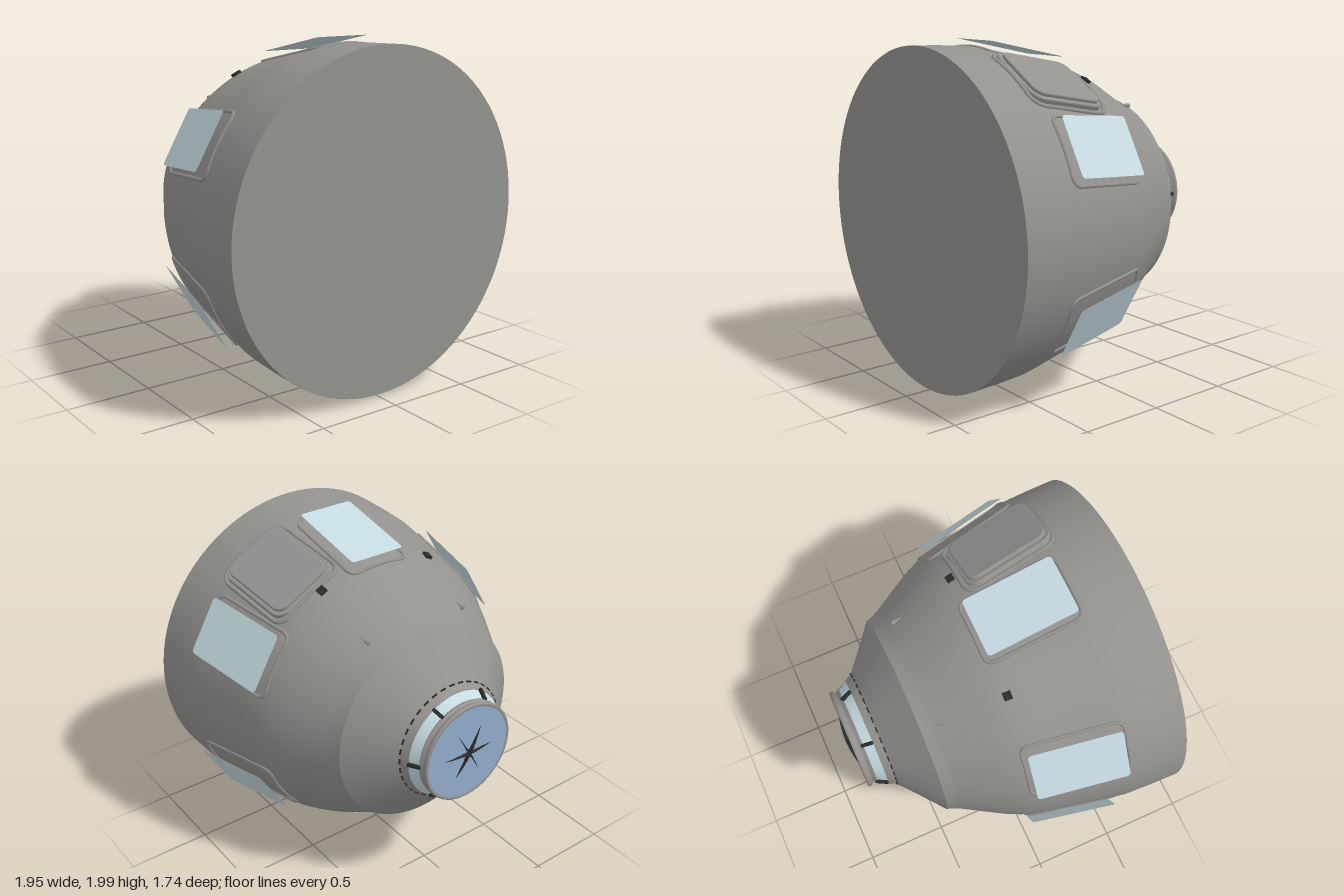
import * as THREE from 'three';

const mat = (name, color, side = THREE.FrontSide) =>
  Object.assign(new THREE.MeshStandardMaterial({ color, side }), { name });

// Shell profile as [z, radius], from the base towards the nose
const SHELL = [[0.87, 0.975], [0.7, 0.97], [0.55, 0.962], [0.48, 0.95], [0.36, 0.925], [0.24, 0.9], [0.1, 0.872],
  [0, 0.85], [-0.08, 0.818], [-0.16, 0.78], [-0.28, 0.71], [-0.39, 0.645], [-0.43, 0.625], [-0.475, 0.61]];
const TILT = 0.21; // slope of the plates lying on the shell

function shellRadius(z) {
  const i = Math.max(1, SHELL.findIndex(p => p[0] <= z));
  const [z0, r0] = SHELL[i - 1], [z1, r1] = SHELL[i];
  return r0 + (r1 - r0) * (z - z0) / (z1 - z0);
}

function roundedRect(w, h, r) {
  const s = new THREE.Shape(), x = w / 2, y = h / 2;
  s.moveTo(-x + r, -y);
  s.lineTo(x - r, -y).absarc(x - r, -y + r, r, -Math.PI / 2, 0);
  s.lineTo(x, y - r).absarc(x - r, y - r, r, 0, Math.PI / 2);
  s.lineTo(-x + r, y).absarc(-x + r, y - r, r, Math.PI / 2, Math.PI);
  s.lineTo(-x, -y + r).absarc(-x + r, -y + r, r, Math.PI, Math.PI * 1.5);
  return s;
}

// Raised bead that follows the shell around a rounded rectangle
function beadGeometry(w, h, corner, zc, radius) {
  const pts = roundedRect(w, h, corner).getSpacedPoints(56).slice(0, -1).map(p => {
    const z = zc - p.y, r = shellRadius(z);
    return new THREE.Vector3(p.x, Math.sqrt(r * r - p.x * p.x), z);
  });
  return new THREE.TubeGeometry(new THREE.CatmullRomCurve3(pts, true), 112, radius, 6, true);
}

export function createModel() {
  const hull = mat('hull grey', 0x93928f);
  const glass = mat('pale window blue', 0xc6dbe2, THREE.DoubleSide);
  const blue = mat('nose blue', 0x92abcb);
  const dark = mat('dark fittings', 0x2b2c2c, THREE.DoubleSide);

  const model = new THREE.Group();
  model.name = 'capsule';
  const body = new THREE.Group();
  body.name = 'capsuleBody';
  body.position.y = 1.005;
  model.add(body);

  const add = (parent, name, geo, material, x = 0, y = 0, z = 0, rx = 0) => {
    const m = new THREE.Mesh(geo, material);
    m.name = name;
    m.position.set(x, y, z);
    m.rotation.x = rx;
    parent.add(m);
    return m;
  };
  // Solid of revolution around the z axis
  const turned = (name, profile, material) => add(body, name,
    new THREE.LatheGeometry(profile.map(([z, r]) => new THREE.Vector2(r, -z)), 96), material, 0, 0, 0, -Math.PI / 2);
  // Group whose local +y points outwards at the given angle
  const spoke = (name, degrees) => {
    const g = new THREE.Group();
    g.name = name;
    g.rotation.z = THREE.MathUtils.degToRad(degrees - 90);
    body.add(g);
    return g;
  };

  // Hull
  add(body, 'baseDisc', new THREE.CircleGeometry(0.975, 96), hull, 0, 0, 0.87);
  turned('shell', SHELL, hull);
  turned('noseCone', [[-0.475, 0.61], [-0.58, 0.48], [-0.685, 0.355]], hull);
  turned('collar', [[-0.685, 0.355], [-0.73, 0.332]], hull);
  turned('collarLip', [[-0.73, 0.332], [-0.7301, 0.31]], hull);

  // Docking nose
  turned('paleRing', [[-0.73, 0.328], [-0.79, 0.295]], glass);
  const rim = [[-0.783, 0.28], [-0.785, 0.3], [-0.795, 0.302], [-0.802, 0.287], [-0.815, 0.287],
    [-0.82, 0.3], [-0.83, 0.305], [-0.843, 0.302], [-0.847, 0.295], [-0.843, 0.283]];
  turned('dockingRim', rim, hull);
  add(body, 'noseDisc', new THREE.CircleGeometry(0.288, 64), blue, 0, 0, -0.843, Math.PI);

  // Thin crossed blades on the nose
  const arc = new THREE.Shape();
  arc.moveTo(-0.17, 0);
  arc.quadraticCurveTo(0, 0.046, 0.17, 0);
  const bladeGeo = new THREE.ShapeGeometry(arc, 16);
  const barGeo = new THREE.BoxGeometry(0.1, 0.006, 0.02);
  for (let i = 0; i < 3; i++) {
    const g = spoke('noseBlade', 90 + i * 60);
    add(g, 'blade', bladeGeo, dark, 0, 0, -0.843, -Math.PI / 2);
    add(g, 'bladeHub', barGeo, dark, 0, 0, -0.854);
  }

  // Clips across the pale ring
  const clipGeo = new THREE.BoxGeometry(0.018, 0.022, 0.075);
  for (let i = 0; i < 6; i++) add(spoke('ringClip', i * 60), 'clip', clipGeo, dark, 0, 0.318, -0.762, -0.5);

  // Dashes around the collar
  const dashGeo = new THREE.BoxGeometry(0.035, 0.008, 0.009);
  for (let i = 0; i < 36; i++) add(spoke('collarDash', i * 10), 'dash', dashGeo, dark, 0, 0.356, -0.684);

  // Six windows standing off the shell, each inside a beaded frame
  const paneGeo = new THREE.ShapeGeometry(roundedRect(0.35, 0.53, 0.022), 6);
  const frameGeo = beadGeometry(0.39, 0.56, 0.05, 0.245, 0.011);
  for (let i = 0; i < 6; i++) {
    const g = spoke('window', 30 + i * 60);
    add(g, 'windowPane', paneGeo, glass, 0, 0.94, 0.24, -Math.PI / 2 - TILT);
    add(g, 'windowFrame', frameGeo, hull);
  }

  // Side hatch: base, raised door and outer bead
  const hatch = spoke('hatch', 60);
  const slab = (w, h, r, depth) => new THREE.ExtrudeGeometry(roundedRect(w, h, r), {
    depth, bevelEnabled: true, bevelSize: 0.008, bevelThickness: 0.008, bevelSegments: 2, curveSegments: 8 });
  const lean = new THREE.Group();
  lean.name = 'hatchDoor';
  lean.position.set(0, 0.938, 0.315);
  lean.rotation.x = -Math.PI / 2 - TILT;
  hatch.add(lean);
  add(lean, 'hatchBase', slab(0.42, 0.52, 0.07, 0.05), hull, 0, 0, -0.078);
  add(lean, 'hatchPanel', slab(0.37, 0.48, 0.055, 0.03), hull, 0, 0, -0.038);
  add(hatch, 'hatchFrame', beadGeometry(0.47, 0.55, 0.08, 0.315, 0.013), hull);

  // Small dark tabs and fins on the upper side
  const tabGeo = new THREE.BoxGeometry(0.045, 0.025, 0.045);
  const finGeo = new THREE.ConeGeometry(0.014, 0.075, 6);
  for (const side of [-1, 1]) {
    add(spoke('darkTab', 90 + side * 26), 'tab', tabGeo, dark, 0, 0.852, 0, -0.3);
    add(spoke('smallFin', 90 + side * 29.5), 'fin', finGeo, hull, 0, 0.688, -0.34, Math.PI / 2 - 0.25);
  }
  return model;
}
